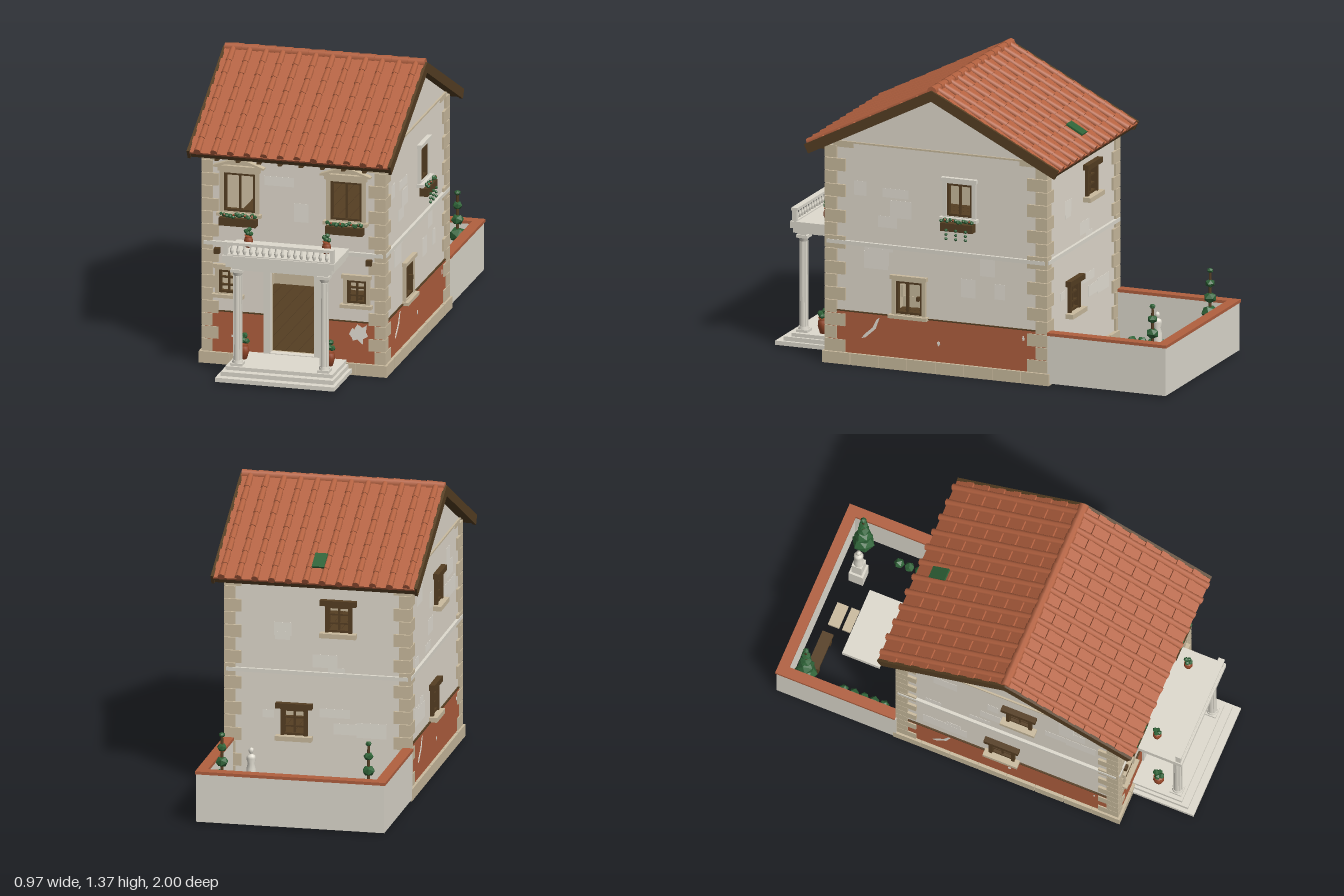
import * as THREE from 'three';
import { mergeGeometries } from 'three/addons/utils/BufferGeometryUtils.js';

const mat = (name, color) => Object.assign(new THREE.MeshStandardMaterial({ color }), { name });

export function createModel() {
  const stucco = mat('stucco', 0xe3dccf), patchy = mat('pale stucco', 0xe9e4d9), stone = mat('pale stone', 0xdfdbcf);
  const tan = mat('tan stone', 0xcbbc9f), band = mat('terracotta paint', 0xb2603f), tile = mat('roof tile', 0xb66341);
  const wood = mat('dark wood', 0x563f23), earth = mat('dark base', 0x3a2b1a), green = mat('foliage', 0x2f6338);
  const clay = mat('clay pot', 0x9c4a2b);
  const house = new THREE.Group();
  house.name = 'villa';
  let seed = 7;
  const rnd = () => (seed = (seed * 16807) % 2147483647) / 2147483647;

  // geometry helpers
  const box = (w, h, d, x, y, z) => new THREE.BoxGeometry(w, h, d).translate(x, y, z);
  const span = (x0, x1, y0, y1, z0, z1) => box(x1 - x0, y1 - y0, z1 - z0, (x0 + x1) / 2, (y0 + y1) / 2, (z0 + z1) / 2);
  const leaf = (r, x, y, z) => new THREE.IcosahedronGeometry(r, 0).rotateY(rnd() * 3).translate(x, y, z);
  const lathe = (pts, seg, x, y, z) =>
    new THREE.LatheGeometry(pts.map(p => new THREE.Vector2(p[0], p[1])), seg).translate(x, y, z);
  const add = (name, material, geos, parent = house) => {
    const m = new THREE.Mesh(mergeGeometries(geos.map(g => (g.index ? g.toNonIndexed() : g))), material);
    m.name = name;
    parent.add(m);
    return m;
  };
  const poly = pts => new THREE.Shape(pts.map(p => new THREE.Vector2(p[0], p[1])));
  const rectPts = (u, y, w, h) => [[u - w / 2, y - h / 2], [u + w / 2, y - h / 2], [u + w / 2, y + h / 2], [u - w / 2, y + h / 2]];
  const plate = (shape, depth, z = 0) => new THREE.ExtrudeGeometry(shape, { depth, bevelEnabled: false }).translate(0, 0, z);
  const ring = (u, y, w, h, t, depth, z) => {
    const s = poly(rectPts(u, y, w + 2 * t, h + 2 * t));
    s.holes.push(poly(rectPts(u, y, w, h)));
    return plate(s, depth, z);
  };

  // potted plant
  const pot = (x, y, z, s) => {
    add('flowerPot', clay, [lathe([[0, 0], [.014, 0], [.024, .035], [.022, .055], [.016, .06], [.022, .07], [0, .066]].map(p => [p[0] * s, p[1] * s]), 10, x, y, z)]);
    add('potPlant', green, [0, 1, 2, 3].map(i => leaf(.014 * s, x + Math.cos(i * 1.6) * .013 * s, y + (.078 + .007 * i) * s, z + Math.sin(i * 1.6) * .013 * s)));
  };

  // hollow walls: each side has local x to the right, y up and z outward
  // hole: u, y, w, h, kind
  const sides = [
    { name: 'frontWall', w: .85, pos: [0, 0, .68], rot: 0, holes: [
      { u: -.005, y: .27, w: .21, h: .4, kind: 'door' },
      { u: -.255, y: .825, w: .15, h: .185, kind: 'grand' }, { u: .25, y: .825, w: .15, h: .185, kind: 'grand' },
      { u: -.308, y: .395, w: .09, h: .11, kind: 'small' }, { u: .3, y: .395, w: .09, h: .11, kind: 'small' }] },
    { name: 'backWall', w: .85, pos: [0, 0, -.4], rot: Math.PI, holes: [
      { u: .1, y: .84, w: .11, h: .125, kind: 'rustic' }, { u: -.108, y: .34, w: .11, h: .125, kind: 'rustic' }] },
    { name: 'leftWall', w: 1.08, pos: [.425, 0, .14], rot: Math.PI / 2, holes: [
      { u: .115, y: .83, w: .125, h: .155, kind: 'boxed' }, { u: -.135, y: .342, w: .13, h: .155, kind: 'casement' }] },
    { name: 'rightWall', w: 1.08, pos: [-.425, 0, .14], rot: -Math.PI / 2, holes: [
      { u: .06, y: .84, w: .11, h: .125, kind: 'rustic' }, { u: -.025, y: .335, w: .11, h: .125, kind: 'rustic' }] },
  ];

  // planted window box with trailing leaves
  const flowerBox = (g, u, y, w, trail) => {
    add('flowerBox', wood, [box(w, .038, .04, u, y, .03)], g);
    const leaves = [];
    for (let i = 0; i < 12; i++) leaves.push(leaf(.008 + rnd() * .004, u + (i / 11 - .5) * w * .92, y + .024 + rnd() * .012, .03 + rnd() * .02));
    if (trail) for (let i = 0; i < 9; i++) leaves.push(leaf(.008, u + ((i % 3) - 1) * w * .3, y - .012 - Math.floor(i / 3) * .02, .054));
    add('boxFlowers', green, leaves, g);
    add('boxBlossoms', clay, [-.35, -.1, .2, .4].map(k => leaf(.006, u + k * w, y + .035, .048)), g);
  };

  const windowParts = (g, { u, y, w, h, kind }) => {
    const top = y + h / 2, bot = y - h / 2;
    if (kind === 'door') return add('doorSurround', stone, [ring(u, y, w, h, .03, .014, 0)], g);
    const t = .011, f = [ring(u, y, w - 2 * t, h - 2 * t, t, .022, -.014)];
    if (kind !== 'casement') f.push(box(.008, h, .014, u, y, -.004));
    else f.push(box(.012, h, .014, u - .01, y, -.004), box(.012, .02, .02, u + .045, y, .005));
    const rows = kind === 'small' || kind === 'rustic' ? 2 : 0;
    for (let i = 1; i <= rows; i++) f.push(box(w, .008, .014, u, bot + h * i / 3, -.004));
    const pale = kind === 'boxed' ? stone : tan;
    if (kind === 'rustic') {
      f.push(box(w + .06, .026, .03, u, top + .015, .012), box(.016, h, .02, u - w / 2, y, .006), box(.016, h, .02, u + w / 2, y, .006));
      add('windowSill', tan, [box(w + .06, .022, .045, u, bot - .012, .015)], g);
    } else {
      add('windowSurround', pale, [ring(u, y, w, h, .018, .014, 0), box(w + .06, .016, .035, u, bot - .012, .014), box(w + .05, .018, .024, u, top + .018, .01)], g);
    }
    add('windowFrame', wood, f, g);
    if (kind === 'grand') {
      const p = poly([[u - .12, .945], [u + .12, .945], [u + .12, .953], [u, .995], [u - .12, .953]]);
      p.holes.push(poly([[u - .08, .955], [u + .08, .955], [u, .982]]));
      add('pediment', tan, [plate(p, .03), box(.2, .014, .022, u, .938, .01), plate(poly([[u - .1, .95], [u + .1, .95], [u, .988]]), .012)], g);
      flowerBox(g, u, .692, .175, false);
    }
    if (kind === 'boxed') flowerBox(g, u, .708, .16, true);
  };

  for (const { name, w, pos, rot, holes } of sides) {
    const g = new THREE.Group();
    g.name = name;
    g.position.set(...pos);
    g.rotation.y = rot;
    house.add(g);
    const s = poly([[-w / 2, .03], [w / 2, .03], [w / 2, 1.03], [-w / 2, 1.03]]);
    for (const o of holes) s.holes.push(poly(rectPts(o.u, o.y, o.w, o.h)));
    add('wall', stucco, [plate(s, .025, -.025)], g);
    add('innerLining', tan, [plate(s, .01, -.036)], g);
    holes.forEach(o => windowParts(g, o));

    // worn plaster patches that keep clear of the openings
    const worn = [];
    for (let i = 0; i < 14; i++) {
      const pw = .05 + rnd() * .1, ph = .03 + rnd() * .06, u = (rnd() - .5) * (w - .3), y = .3 + rnd() * .66;
      if (holes.every(o => Math.abs(u - o.u) > (o.w + pw) / 2 + .04 || Math.abs(y - o.y) > (o.h + ph) / 2 + .04))
        worn.push(box(pw, ph, .001, u, y, .0005 + i * .00004));
    }
    add('plasterPatches', patchy, worn, g);
    add('stringCourse', stone, [box(w, .018, .02, 0, .575, .004)], g);

    // painted lower band with peeled spots
    if (name !== 'backWall') {
      const runs = name === 'frontWall' ? [[-.42, -.14], [.13, .42]] : [[-w / 2, w / 2]];
      add('paintedBand', band, runs.map(([a, b]) => span(a, b, .05, .25, 0, .006)), g);
      add('bandLine', wood, runs.map(([a, b]) => span(a, b, .248, .253, 0, .008)), g);
      const blob = (u, y, rx, ry, n) => plate(poly(Array.from({ length: n }, (_, i) => {
        const a = i / n * Math.PI * 2, r = .45 + rnd() * .6;
        return [u + Math.cos(a) * r * rx, y + Math.sin(a) * r * ry];
      })), .002, .006);
      const tear = [[-.045, .19], [-.03, .175], [-.028, .16], [-.005, .168], [.02, .145], [.022, .172], [.045, .185], [.035, .205], [.04, .24], [.02, .225], [-.005, .24], [-.02, .215], [-.03, .22]];
      const crack = [[-.09, .13], [-.07, .135], [-.02, .18], [0, .235], [-.015, .225], [-.035, .185], [-.075, .15]];
      const shift = (pts, d) => plate(poly(pts.map(([u, y]) => [u + d, y])), .002, .006);
      const spots = name === 'frontWall' ? [shift(tear, .308), blob(-.29, .135, .007, .01, 6)]
        : [shift(crack, -.28), blob(.01, .14, .01, .014, 8), blob(.43, .21, .006, .018, 8)];
      add('peeledPaint', patchy, spots, g);
    }

    // plinth blocks
    const n = w > 1 ? 8 : 6, bw = (w + .044) / n;
    add('plinth', tan, Array.from({ length: n }, (_, i) => box(bw - .003, .055, .05, (i + .5 - n / 2) * bw, .0275, -.005)), g);

    // gable above the side walls
    if (w > 1) {
      add('gable', stucco, [plate(poly([[-.54, 1.03], [.54, 1.03], [0, 1.3]]), .03, -.026)], g);
      add('gableCornice', tan, [box(1.03, .008, .02, 0, 1.05, .002), box(.1, .025, .012, -.46, 1.035, 0), box(.1, .025, .012, .46, 1.035, 0)], g);
    }
  }

  // corner quoins
  const quoins = [];
  for (const sx of [-1, 1]) for (const sz of [-1, 1]) for (let i = 0; i < 16; i++) {
    const lx = i % 2 ? .08 : .052, lz = i % 2 ? .058 : .1;
    quoins.push(box(lx, .058, lz, sx * (.436 - lx / 2), .085 + i * .061, .14 + sz * (.55 - lz / 2)));
  }
  add('quoins', tan, quoins);

  // base and floors
  add('base', earth, [span(-.41, .41, .002, .04, -.385, .665)]);
  const planks = [];
  for (let i = 0; i < 14; i++) for (const y of [.056, .565]) planks.push(box(.055, .016, 1.02, (i - 6.5) * .057, y, .14));
  add('floorPlanks', wood, planks);
  add('table', wood, [span(-.04, .16, .178, .19, .05, .17), ...[-.025, .145].flatMap(x => [.06, .16].map(z => box(.012, .12, .012, x, .12, z)))]);
  add('bowl', clay, [lathe([[0, 0], [.012, 0], [.025, .018], [.022, .018], [0, .006]], 10, .02, .19, .11)]);

  // roof: two tiled slopes meeting at the ridge
  const L = .692, rows = 8, rl = L / rows;
  for (const dir of [0, 1]) {
    const g = new THREE.Group();
    g.name = dir ? 'backRoofSlope' : 'frontRoofSlope';
    g.position.set(0, 1.332, .145);
    g.rotation.set(.467, dir * Math.PI, 0, 'YXZ');
    house.add(g);
    const pans = [], covers = [];
    for (let r = 0; r < rows; r++) {
      pans.push(new THREE.BoxGeometry(.945, .01, rl + .012).rotateX(.1).translate(0, .008, (r + .5) * rl));
      for (let c = 0; c < 12; c++)
        covers.push(new THREE.CylinderGeometry(.017, .014, rl + .012, 8).rotateX(Math.PI / 2)
          .translate((c - 5.5) * .0787, .014, (r + .5) * rl + (rnd() - .5) * .008));
    }
    add('panTiles', tile, pans, g);
    add('coverTiles', tile, covers, g);
    add('roofDeck', wood, [span(-.47, .47, -.026, .002, 0, L)], g);
    add('vergeBoards', wood, [-1, 1].map(s => box(.014, .046, L + .01, s * .476, -.009, L / 2)), g);
    if (dir) add('mossyTile', green, [new THREE.BoxGeometry(.058, .009, .09).rotateX(.03).translate(.004, .03, .565)], g);
  }
  add('ridgeTiles', tile, Array.from({ length: 12 }, (_, i) =>
    new THREE.CylinderGeometry(.02, .024, .084, 8).rotateZ(Math.PI / 2).translate((i - 5.5) * .0787, 1.342, .145)));
  add('rafterTails', wood, [-.35, -.25, -.15, -.05, .05, .15, .25, .35].map(x => box(.018, .022, .06, x, .995, .715)));

  // portico: steps, columns and balcony
  add('steps', stone, [span(-.285, .28, .01, .03, .69, 1), span(-.268, .265, .03, .05, .69, .965), span(-.255, .252, .05, .067, .66, .93)]);
  for (const x of [-.208, .203]) {
    add('column', stone, [
      new THREE.CylinderGeometry(.017, .021, .42, 12).translate(x, .295, .89),
      new THREE.CylinderGeometry(.024, .026, .014, 12).translate(x, .085, .89),
      new THREE.CylinderGeometry(.026, .018, .02, 12).translate(x, .505, .89),
      box(.056, .014, .056, x, .072, .89), box(.056, .014, .056, x, .52, .89)]);
    add('columnFlutes', stone, Array.from({ length: 8 }, (_, i) =>
      box(.005, .4, .005, x + Math.cos(i * Math.PI / 4) * .019, .295, .89 + Math.sin(i * Math.PI / 4) * .019)));
    pot(x * .99, .067, .795, 1.08);
    pot(x * .9, .595, .78, .85);
  }
  add('balconySlab', stone, [span(-.27, .262, .565, .597, .68, .935), span(-.255, .247, .54, .565, .68, .925), span(-.23, .225, .525, .541, .87, .91)]);
  add('balconyBrackets', wood, [-.165, -.06, .065, .17].map(x => box(.022, .022, .03, x, .53, .7)));
  add('beamEnds', wood, [-.36, .36].map(x => box(.026, .026, .03, x, .54, .69)));
  const rail = [span(-.265, .257, .647, .66, .9, .93), span(-.265, .257, .595, .602, .902, .928)];
  for (const x of [-.256, .248]) rail.push(box(.018, .06, .024, x, .625, .915));
  for (let i = 0; i < 16; i++)
    rail.push(lathe([[.004, 0], [.009, .014], [.008, .022], [.004, .034], [.006, .047]], 8, -.229 + i * .03, .601, .915));
  add('balustrade', stone, rail);

  // walled garden
  add('gardenWall', stone, [span(-.445, -.405, .01, .236, -.995, -.405), span(.395, .435, .01, .236, -.995, -.405), span(-.445, .435, .01, .236, -.995, -.955)]);
  add('gardenWallCap', band, [span(-.45, -.4, .236, .25, -1, -.41), span(.39, .44, .236, .25, -1, -.41), span(-.4, .39, .236, .25, -1, -.95)]);
  add('gardenTerrace', stone, [span(-.17, .16, .01, .035, -.785, -.6)]);
  add('steppingStones', tan, [[-.9, -.845], [-.83, -.79], [-.595, -.555], [-.548, -.5], [-.49, -.42]].map(([a, b]) => span(-.062, .053, .01, .022, a, b)));
  add('bench', wood, [span(-.31, -.125, .08, .095, -.9, -.845), ...[-.29, -.145].map(x => box(.02, .07, .045, x, .045, -.872))]);
  add('statuePlinth', stone, [box(.07, .1, .07, .208, .06, -.86), box(.05, .09, .05, .208, .15, -.86)]);
  add('statue', stone, [lathe([[.024, 0], [.022, .05], [.016, .075], [.023, .1], [.018, .112], [.007, .118], [.006, .122], [.013, .132], [.01, .145], [0, .15]], 10, .208, .19, -.86)]);
  for (const x of [-.348, .338]) {
    add('topiaryTrunk', wood, [new THREE.CylinderGeometry(.006, .011, .38, 6).translate(x, .2, -.89)]);
    add('topiary', green, [[.055, .12], [.043, .2], [.031, .272], [.024, .34], [.015, .4]].map(([r, y]) => leaf(r, 0, 0, 0).scale(1, .85, 1).translate(x, y, -.89)));
    add('hedge', green, [0, 1, 2, 3, 4].map(i => leaf(.025, Math.sign(x) * .332, .033, -.71 + i * .05)));
  }
  return house;
}
